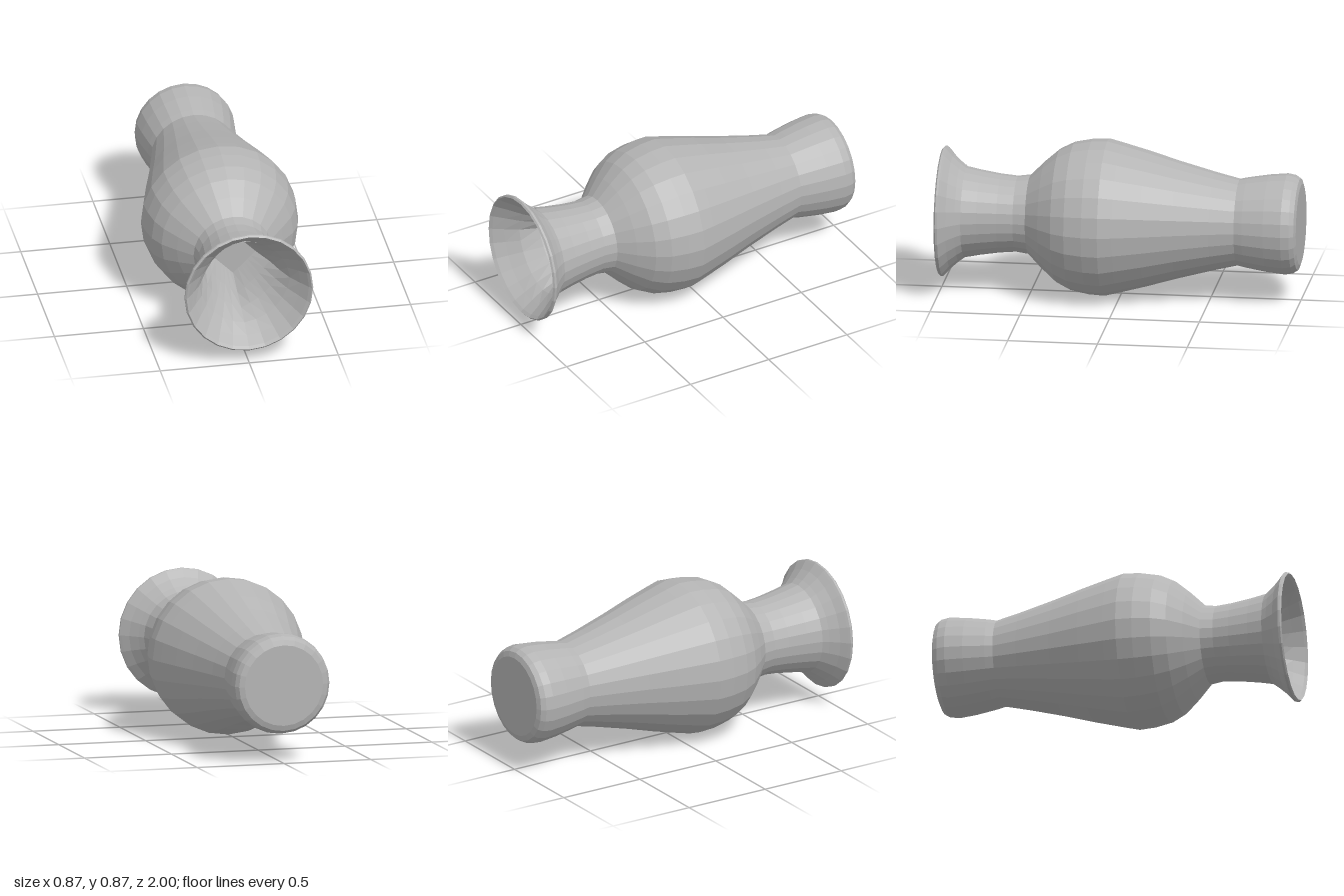
import * as THREE from 'three';

const SIDES = 24;
const CENTRE_Y = 0.437;

// Lathe of [radius, z] pairs, turned so its axis runs along z
function latheAlongZ(profile) {
  const points = profile.map(([r, z]) => new THREE.Vector2(r, z));
  return new THREE.LatheGeometry(points, SIDES).rotateX(Math.PI / 2);
}

export function createModel() {
  const clay = new THREE.MeshStandardMaterial({ color: 0xb4b4b4, flatShading: true });
  clay.name = 'grey clay';

  const model = new THREE.Group();
  model.name = 'vase';

  function addPart(name, geometry) {
    const mesh = new THREE.Mesh(geometry, clay);
    mesh.name = name;
    mesh.position.y = CENTRE_Y;
    model.add(mesh);
  }

  // Foot: flat base with a rounded edge, tapering to the waist
  addPart('foot', latheAlongZ([
    [0, -1], [0.225, -1], [0.255, -0.99], [0.272, -0.965], [0.28, -0.92],
    [0.27, -0.82], [0.25, -0.7], [0.24, -0.655],
  ]));

  // Belly: long taper swelling to a round bulb
  addPart('belly', latheAlongZ([
    [0.24, -0.655], [0.272, -0.52], [0.325, -0.32], [0.375, -0.15], [0.415, 0],
    [0.435, 0.08], [0.43, 0.17], [0.41, 0.27], [0.37, 0.35], [0.3, 0.43], [0.22, 0.51],
  ]));

  // Neck and flared lip
  addPart('neck', latheAlongZ([
    [0.22, 0.51], [0.21, 0.58], [0.218, 0.67], [0.235, 0.78], [0.252, 0.865],
    [0.275, 0.895], [0.315, 0.94], [0.35, 0.97], [0.361, 0.98], [0.361, 0.992], [0.352, 1],
  ]));

  // Hollow mouth: a round funnel that narrows to a diamond-shaped floor
  const mouth = latheAlongZ([
    [0.352, 1], [0.338, 0.985], [0.3, 0.93], [0.255, 0.86],
    [0.215, 0.76], [0.18, 0.65], [0.125, 0.52], [0, 0.52],
  ]);
  const p = mouth.attributes.position;
  for (let i = 0; i < p.count; i++) {
    const x = p.getX(i), y = p.getY(i), z = p.getZ(i);
    const r = Math.hypot(x, y);
    if (r < 1e-6) continue;
    const squareness = THREE.MathUtils.smoothstep(0.95 - z, 0, 0.4);
    const scale = THREE.MathUtils.lerp(1, r / (Math.abs(x) + Math.abs(y)), squareness);
    p.setXYZ(i, x * scale, y * scale, z);
  }
  mouth.computeVertexNormals();
  addPart('mouth', mouth);

  return model;
}
